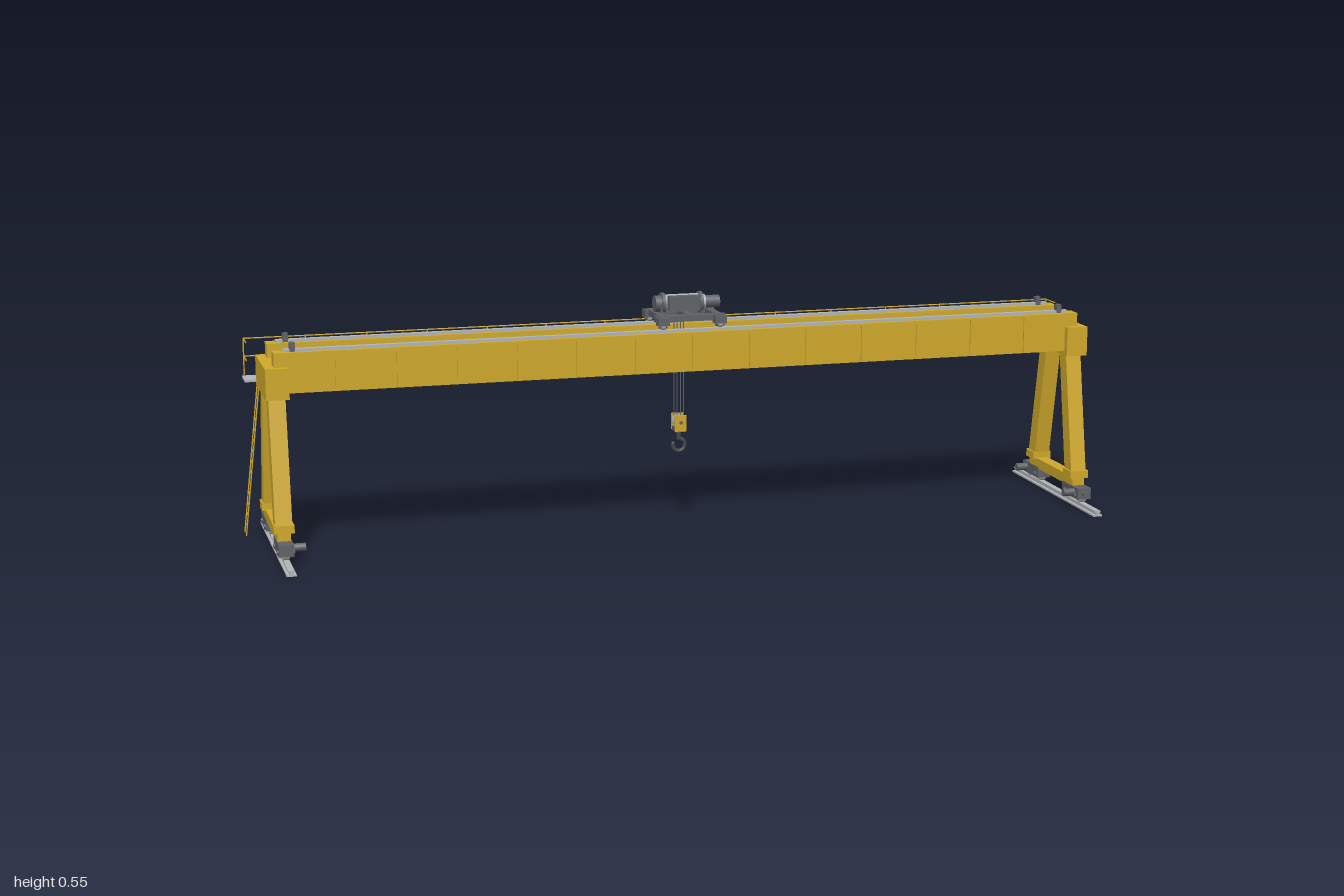
import * as THREE from 'three';

export function createModel() {
  const mat = (name, color) => {
    const m = new THREE.MeshStandardMaterial({ color });
    m.name = name;
    return m;
  };
  const yellow = mat('crane yellow', 0xd0a92a);
  const dark = mat('machinery grey', 0x5f6268);
  const light = mat('steel grey', 0xb2b5b9);
  const black = mat('hook grey', 0x44464b);

  const root = new THREE.Group();
  root.name = 'gantryCrane';
  const C = 0.015; // centre of the span
  const group = (name, parent = root) => {
    const g = new THREE.Group();
    g.name = name;
    parent.add(g);
    return g;
  };
  const add = (parent, name, geo, m) => {
    const mesh = new THREE.Mesh(geo, m);
    mesh.name = name;
    parent.add(mesh);
    return mesh;
  };
  // Box from its minimum and maximum corners
  const box = (p, name, m, x0, x1, y0, y1, z0, z1) => add(p, name,
    new THREE.BoxGeometry(x1 - x0, y1 - y0, z1 - z0)
      .translate((x0 + x1) / 2, (y0 + y1) / 2, (z0 + z1) / 2), m);
  // Cylinder along x or z
  const cyl = (p, name, m, r, len, x, y, z, axis = 'x') => {
    const g = new THREE.CylinderGeometry(r, r, len, 24);
    if (axis === 'x') g.rotateZ(Math.PI / 2); else g.rotateX(Math.PI / 2);
    return add(p, name, g.translate(x, y, z), m);
  };
  // Round bar between two points
  const bar = (p, name, m, a, b, r) => {
    const A = new THREE.Vector3(...a), B = new THREE.Vector3(...b);
    const d = B.clone().sub(A);
    const mesh = add(p, name, new THREE.CylinderGeometry(r, r, d.length(), 8), m);
    mesh.position.copy(A).add(B).multiplyScalar(0.5);
    mesh.quaternion.setFromUnitVectors(new THREE.Vector3(0, 1, 0), d.normalize());
    return mesh;
  };
  // Outline in (z, y), extruded along x and centred there
  const slab = (p, name, m, pts, width, x) => {
    const g = new THREE.ExtrudeGeometry(
      new THREE.Shape(pts.map(q => new THREE.Vector2(...q))), { depth: width, bevelEnabled: false });
    return add(p, name, g.rotateY(-Math.PI / 2).translate(x + width / 2, 0, 0), m);
  };

  // Main girders with web stiffeners, trolley rails and end stops
  for (const s of [1, -1]) {
    const g = group(s > 0 ? 'frontGirder' : 'rearGirder');
    const zBox = (name, m, x0, x1, y0, y1, za, zb) =>
      box(g, name, m, x0, x1, y0, y1, Math.min(s * za, s * zb), Math.max(s * za, s * zb));
    zBox('girderBox', yellow, C - 0.958, C + 0.958, 0.372, 0.463, 0.043, 0.079);
    for (let i = 1; i < 14; i++) {
      const x = C - 0.958 + i * 1.916 / 14;
      zBox('stiffener', yellow, x - 0.002, x + 0.002, 0.375, 0.459, 0.079, 0.083);
    }
    zBox('trolleyRail', light, C - 0.937, C + 0.937, 0.463, 0.469, 0.054, 0.067);
    for (const e of [1, -1]) {
      const x = C + e * 0.915;
      zBox('endStop', dark, x - 0.006, x + 0.006, 0.463, 0.483, 0.053, 0.068);
    }
  }

  // End frames: cross beam, splayed legs, sill, bogies and ground rail
  for (const e of [1, -1]) {
    const x = C + e * 0.953;
    const g = group(e > 0 ? 'leftEndFrame' : 'rightEndFrame');
    box(g, 'endBeam', yellow, x - 0.026, x + 0.026, 0.361, 0.431, -0.093, 0.094);
    box(g, 'sillBeam', yellow, x - 0.015, x + 0.015, 0.046, 0.071, -0.127, 0.127);
    box(g, 'groundRailFoot', light, x - 0.011, x + 0.011, 0, 0.004, -0.24, 0.24);
    box(g, 'groundRailWeb', light, x - 0.004, x + 0.004, 0.004, 0.009, -0.24, 0.24);
    box(g, 'groundRailHead', light, x - 0.007, x + 0.007, 0.009, 0.0135, -0.24, 0.24);
    for (const s of [1, -1]) {
      const pts = [[0.126, 0.08], [0.074, 0.363], [0.038, 0.363], [0.088, 0.08]]
        .map(([z, y]) => [s * z, y]);
      slab(g, 'leg', yellow, pts, 0.038, x);
      const z = s * 0.109;
      box(g, 'legCollar', yellow, x - 0.023, x + 0.023, 0.068, 0.086, z - 0.022, z + 0.022);
      const zb = s * 0.117;
      const b = group('bogie', g);
      box(b, 'bogieFrame', dark, x - 0.017, x + 0.017, 0.023, 0.05, zb - 0.045, zb + 0.045);
      cyl(b, 'buffer', dark, 0.006, 0.01, x, 0.037, s * 0.166, 'z');
      for (const w of [-0.029, 0.029]) {
        cyl(b, 'wheel', light, 0.0125, 0.014, x, 0.0255, zb + w);
        cyl(b, 'axleCap', dark, 0.006, 0.04, x, 0.031, zb + w);
      }
      cyl(b, 'driveMotor', dark, 0.009, 0.03, x - e * 0.03, 0.038, zb + s * 0.022);
    }
  }

  // Walkway behind the rear girder, with its handrail
  const walk = group('walkway');
  const W0 = -0.985, W1 = 0.988, zr = -0.137;
  box(walk, 'walkwayDeck', light, W0 - 0.005, W1 + 0.002, 0.37, 0.375, -0.141, -0.083);
  for (const y of [0.461, 0.42]) {
    bar(walk, 'handrail', yellow, [W0, y, zr], [W1, y, zr], 0.0016);
    for (const x of [W0, W1])
      bar(walk, 'endRail', yellow, [x, y, zr], [x, y, -0.082], 0.0016);
  }
  for (let i = 0; i <= 14; i++) {
    const x = W0 + (W1 - W0) * i / 14;
    bar(walk, 'handrailPost', yellow, [x, 0.373, zr], [x, 0.461, zr], 0.0016);
  }

  // Access ladder leaning outwards at the right-hand end
  const ladder = group('ladder');
  const lx = y => -0.998 + (y - 0.012) * 0.115;
  for (const z of [-0.091, -0.123])
    bar(ladder, 'ladderRail', yellow, [lx(0.012), 0.012, z], [lx(0.374), 0.374, z], 0.0016);
  for (let i = 0; i < 14; i++) {
    const y = 0.034 + i * 0.0245;
    bar(ladder, 'rung', yellow, [lx(y), y, -0.091], [lx(y), y, -0.123], 0.0013);
  }

  // Trolley frame and wheels
  const t = group('trolley');
  for (const z of [-0.048, 0.048])
    box(t, 'sideFrame', dark, -0.067, 0.1, 0.485, 0.499, z - 0.01, z + 0.01);
  for (const x of [-0.05, 0.016, 0.082])
    box(t, 'crossFrame', dark, x - 0.009, x + 0.009, 0.486, 0.5, -0.058, 0.058);
  for (const x of [-0.052, 0.084]) for (const z of [-0.0605, 0.0605]) {
    box(t, 'wheelBlock', dark, x - 0.014, x + 0.014, 0.479, 0.497, z - 0.0115, z + 0.0115);
    cyl(t, 'trolleyWheel', light, 0.009, 0.009, x, 0.478, z);
    cyl(t, 'wheelAxle', dark, 0.004, 0.02, x, 0.476, z);
  }

  // Hoist: rope drum, flanges, motor and gear case
  const h = group('hoist');
  cyl(h, 'drum', light, 0.0205, 0.085, 0.008, 0.52, 0);
  for (const x of [-0.037, 0.053]) cyl(h, 'drumFlange', dark, 0.025, 0.008, x, 0.52, 0);
  cyl(h, 'gearCase', dark, 0.019, 0.016, -0.048, 0.52, 0);
  cyl(h, 'motor', dark, 0.0145, 0.042, 0.078, 0.52, 0);
  cyl(h, 'motorRing', light, 0.0175, 0.008, 0.06, 0.52, 0);
  box(h, 'controlBox', dark, -0.03, 0.045, 0.508, 0.541, 0.021, 0.037);
  for (const x of [-0.04, 0.056])
    box(h, 'drumPedestal', dark, x - 0.005, x + 0.005, 0.497, 0.515, -0.018, 0.018);

  // Ropes, pulley block and hook
  const b = group('hookBlock');
  const hx = 0.003;
  for (const x of [-0.005, 0.011]) for (const z of [-0.0125, 0.0125])
    bar(b, 'rope', dark, [x, 0.24, z], [x, 0.51, z], 0.0013);
  for (const z of [-0.0165, 0.0165])
    box(b, 'sidePlate', yellow, hx - 0.014, hx + 0.014, 0.218, 0.256, z - 0.002, z + 0.002);
  for (const z of [-0.009, 0.009]) cyl(b, 'pulley', light, 0.0145, 0.008, hx, 0.239, z, 'z');
  cyl(b, 'pulleyPin', dark, 0.004, 0.042, hx, 0.239, 0, 'z');
  box(b, 'crosshead', dark, hx - 0.012, hx + 0.012, 0.216, 0.226, -0.016, 0.016);
  bar(b, 'hookShank', black, [hx, 0.196, 0], [hx, 0.22, 0], 0.0055);
  const start = -195 * Math.PI / 180;
  add(b, 'hook', new THREE.TorusGeometry(0.0145, 0.0048, 10, 28, 285 * Math.PI / 180)
    .rotateZ(start).translate(hx, 0.183, 0), black);
  add(b, 'hookTip', new THREE.SphereGeometry(0.0048, 10, 8)
    .translate(hx + 0.0145 * Math.cos(start), 0.183 + 0.0145 * Math.sin(start), 0), black);

  return root;
}
